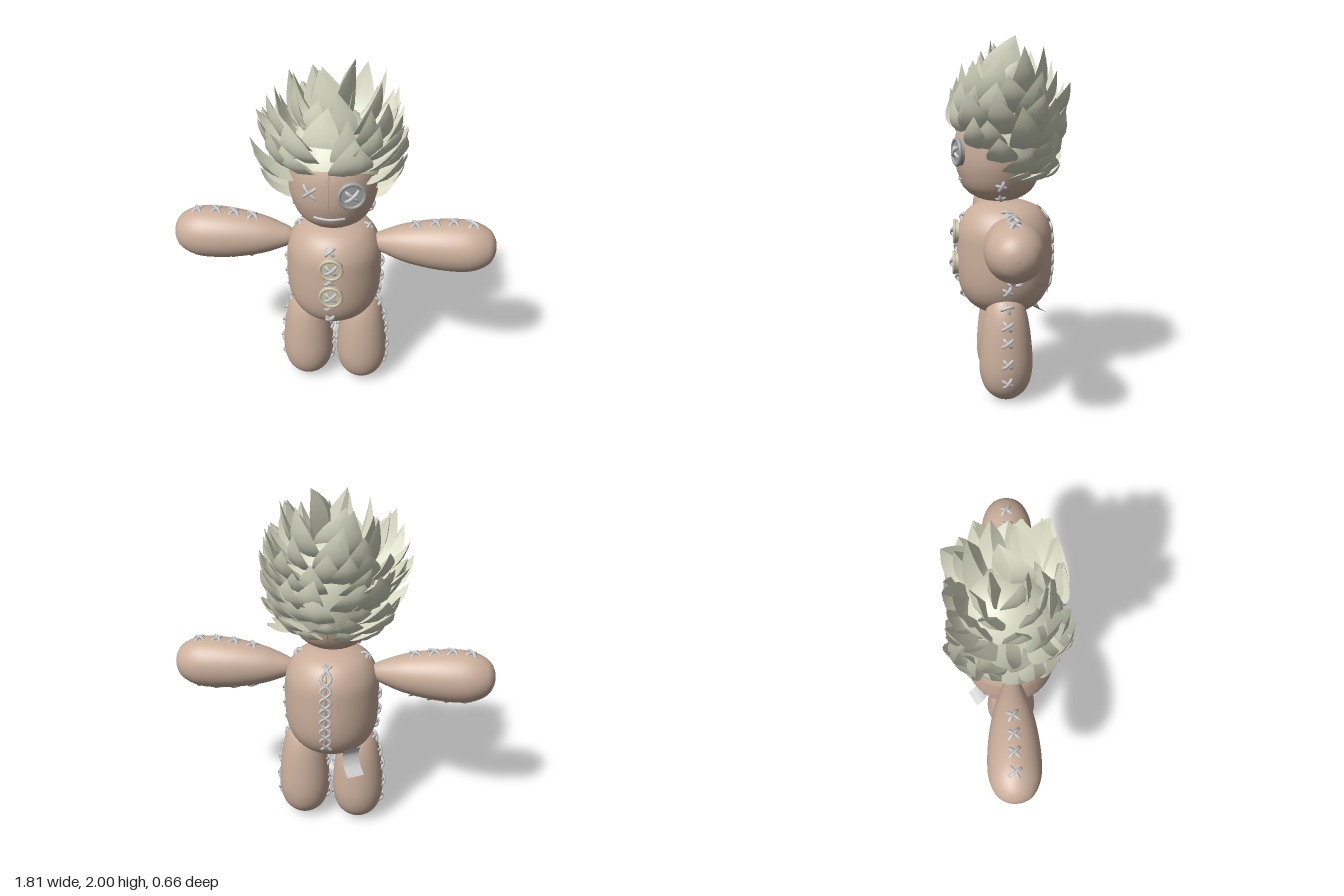
import * as THREE from 'three';
import { mergeGeometries, toCreasedNormals } from 'three/addons/utils/BufferGeometryUtils.js';

const V = (x, y, z) => new THREE.Vector3(x, y, z);
const paint = (color, side = THREE.FrontSide) => new THREE.MeshStandardMaterial({ color, side, roughness: 0.8 });
const cloth = paint(0xcaae9b);
const thread = paint(0xcccccc);
const hairMat = paint(0xd6d8c2, THREE.DoubleSide);
const beige = paint(0xcbc3aa);
const grey = paint(0xa3a3a3);
const ribbonMat = paint(0xcccccc, THREE.DoubleSide);

let seed = 11;
const jitter = (a) => {
  seed = (seed * 16807) % 2147483647;
  return (seed / 2147483647 - 0.5) * 2 * a;
};

function mesh(name, geometry, material, parent) {
  const m = new THREE.Mesh(geometry, material);
  m.name = name;
  parent.add(m);
  return m;
}

function tube(name, points, radius, material, parent) {
  const curve = new THREE.CatmullRomCurve3(points);
  return mesh(name, new THREE.TubeGeometry(curve, points.length * 6, radius, 6), material, parent);
}

// Cross stitch lying on a surface with the given normal, its ends dipping into the cloth
function crossStitch(parent, position, normal, size) {
  const stitch = new THREE.Group();
  stitch.name = 'crossStitch';
  const h = size / 2;
  for (const s of [1, -1]) {
    const path = [[-1, -0.01], [-0.6, 0.003], [0, 0.006], [0.6, 0.003], [1, -0.01]];
    tube('thread', path.map(([t, z]) => V(t * h * 0.85, s * t * h * 0.75, z + s * 0.003)), 0.0095, thread, stitch);
  }
  stitch.position.copy(position);
  stitch.quaternion.setFromUnitVectors(V(0, 0, 1), normal.clone().normalize());
  parent.add(stitch);
}

// Stuffed part: a smooth lathe that knows its own surface, for sewing on it
function stuffed(name, profile, parent) {
  const pts = new THREE.SplineCurve(profile.map(([r, y]) => new THREE.Vector2(r, y))).getPoints(48);
  pts.forEach((p) => (p.x = Math.max(p.x, 0)));
  const part = new THREE.Group();
  part.name = name;
  parent.add(part);
  mesh(name + 'Cloth', new THREE.LatheGeometry(pts, 48), cloth, part);
  const radius = (y) => {
    const i = Math.max(1, pts.findIndex((p) => p.y >= y));
    const [a, b] = [pts[i - 1], pts[i]];
    return a.x + ((b.x - a.x) * (y - a.y)) / (b.y - a.y);
  };
  const at = (angle, y, lift = 0) => {
    const r = radius(y) + lift;
    return V(Math.sin(angle) * r, y, Math.cos(angle) * r);
  };
  const sew = (angle, ys, size) => {
    for (const y of ys) {
      const slope = (radius(y + 0.01) - radius(y - 0.01)) / 0.02;
      crossStitch(part, at(angle, y), V(Math.sin(angle), -slope, Math.cos(angle)), size);
    }
  };
  return { part, at, sew };
}

// Round button with raised rim, tied on by a cross of thread
function button(name, position, normal, radius, material, parent) {
  const g = new THREE.Group();
  g.name = name;
  const disc = mesh('disc', new THREE.CylinderGeometry(radius * 0.95, radius * 0.95, 0.026, 32), material, g);
  disc.rotation.x = Math.PI / 2;
  mesh('rim', new THREE.TorusGeometry(radius * 0.87, radius * 0.14, 10, 32), material, g).position.z = 0.01;
  crossStitch(g, V(0, 0, 0.018), V(0, 0, 1), radius);
  g.position.copy(position);
  g.quaternion.setFromUnitVectors(V(0, 0, 1), normal.normalize());
  parent.add(g);
}

// Pointed lock of hair: ridged kite sections swept from root to tip
function lock(root, bend, tip, width) {
  const curve = new THREE.QuadraticBezierCurve3(root, bend, tip);
  const profile = [0.85, 1, 1.03, 0.95, 0.72, 0.38, 0];
  const n = profile.length;
  const pos = [], index = [];
  const side = V(0, 1, 0).cross(V(root.x, 0, root.z)).normalize();
  const lean = jitter(0.45);
  profile.forEach((w, i) => {
    const t = i / (n - 1);
    const c = curve.getPoint(t).addScaledVector(side, lean * width * t * t * 2);
    const up = side.clone().cross(curve.getTangent(t)).normalize();
    for (const [u, v] of [[1, 0.15], [0, 0.35], [-1, 0.15], [0, -0.25]]) {
      const p = c.clone().addScaledVector(side, u * w * width).addScaledVector(up, v * w * width);
      pos.push(p.x, p.y, p.z);
    }
  });
  for (let i = 0; i < n - 1; i++)
    for (let j = 0; j < 4; j++) {
      const a = i * 4 + j, b = i * 4 + ((j + 1) % 4);
      index.push(a, a + 4, b, b, a + 4, b + 4);
    }
  const g = new THREE.BufferGeometry();
  g.setAttribute('position', new THREE.Float32BufferAttribute(pos, 3));
  g.setIndex(index);
  return toCreasedNormals(g, 0.7);
}

function buildHair(parent) {
  const hair = new THREE.Group();
  hair.name = 'hair';
  parent.add(hair);
  const cap = mesh('hairCap', new THREE.SphereGeometry(1, 32, 16, 0, Math.PI * 2, 0, Math.PI / 2), hairMat, hair);
  cap.scale.set(0.265, 0.36, 0.27);
  cap.position.set(0, 1.39, 0.03);
  cap.rotation.x = -0.48;
  // Rings: root height, root radius, tip height, tip radius, count, front limit, width
  const rings = [
    [1.25, 0.21, 1.32, 0.33, 14, 0.03, 0.075],
    [1.30, 0.23, 1.41, 0.36, 15, 0.07, 0.08],
    [1.36, 0.24, 1.50, 0.385, 16, 0.1, 0.08],
    [1.43, 0.24, 1.60, 0.40, 16, 0.16, 0.08],
    [1.51, 0.24, 1.68, 0.41, 17, 1, 0.075],
    [1.57, 0.23, 1.77, 0.38, 15, 1, 0.08],
    [1.62, 0.20, 1.84, 0.32, 12, 1, 0.08],
    [1.67, 0.14, 1.90, 0.23, 8, 1, 0.08],
    [1.70, 0.06, 1.94, 0.11, 4, 1, 0.085],
  ];
  const locks = [];
  const square = (c) => Math.sign(c) * Math.abs(c) ** 0.7;
  rings.forEach(([y, r, Y, R, count, limit, width], k) => {
    for (let i = 0; i < count; i++) {
      const a = ((i + (k % 2) / 2) / count) * Math.PI * 2 + jitter(0.12);
      const [cx, cz] = [square(Math.cos(a)), square(Math.sin(a))];
      if (cz * r > limit) continue;
      const far = R + jitter(0.035), tipY = Y + jitter(0.05);
      const depth = far * 0.81 * (1 - 0.22 * Math.max(0, cz) * (1 - Math.abs(cx)));
      const root = V(cx * r, y, cz * r + 0.015);
      const tip = V(cx * far, tipY, cz * depth);
      const bend = V(cx * (far * 0.85 + 0.01), y + (tipY - y) * 0.25, cz * depth * 0.95 + 0.01);
      locks.push(lock(root, bend, tip, width + jitter(0.018)));
    }
  });
  // Tall crest on top
  locks.push(lock(V(0.05, 1.72, 0.02), V(0.03, 1.88, 0.05), V(0.11, 2.0, -0.05), 0.11));
  mesh('hairLocks', mergeGeometries(locks), hairMat, hair);
}

export function createModel() {
  const doll = new THREE.Group();
  doll.name = 'ragDoll';

  // Body with front buttons, side stitches and laced back
  const body = stuffed('body', [[0, 0.455], [0.085, 0.465], [0.16, 0.5], [0.215, 0.55], [0.25, 0.62], [0.265, 0.71],
    [0.267, 0.84], [0.256, 0.96], [0.2, 1.055], [0.1, 1.1], [0, 1.105]], doll);
  body.part.position.set(0.004, 0, 0.01);
  body.sew(0, [0.575, 0.67, 0.845, 1.015], 0.055);
  for (const s of [1, -1]) body.sew((s * Math.PI) / 2, [0.64, 0.73, 0.83, 1.06], 0.055);
  for (const y of [0.755, 0.93]) button('bodyButton', body.at(0.04, y, 0.006), V(0, 0, 1), 0.068, beige, body.part);
  const ys = Array.from({ length: 9 }, (_, i) => 1.07 - i * 0.062);
  tube('backSeam', ys.map((y) => body.at(Math.PI, y)), 0.006, cloth, body.part);
  for (const s of [1, -1])
    tube('backLace', ys.map((y, i) => body.at(Math.PI + s * (i % 2 ? 0.11 : -0.11), y, 0.005)), 0.009, thread, body.part);

  // Curled ribbon hanging off the back, turned to one side
  const ribbonPath = new THREE.CatmullRomCurve3([V(0, 0.56, -0.22), V(0, 0.51, -0.2), V(0, 0.45, -0.22), V(0, 0.41, -0.275)]);
  const ribbon = new THREE.PlaneGeometry(0.1, 1, 1, 16);
  const rp = ribbon.attributes.position;
  for (let i = 0; i < rp.count; i++) {
    const p = ribbonPath.getPoint(0.5 - rp.getY(i));
    rp.setXYZ(i, rp.getX(i) - 0.03, p.y, p.z);
  }
  ribbon.computeVertexNormals();
  mesh('ribbon', ribbon, ribbonMat, doll).rotation.y = Math.PI / 6;

  // Arms and legs, stitched along both seams
  for (const s of [1, -1]) {
    const side = s > 0 ? 'left' : 'right';
    const arm = stuffed(side + 'Arm', [[0, 0.19], [0.04, 0.23], [0.073, 0.3], [0.108, 0.4], [0.136, 0.54], [0.147, 0.68],
      [0.138, 0.78], [0.1, 0.86], [0.05, 0.895], [0, 0.905]], doll);
    arm.part.rotation.z = (-s * Math.PI) / 2;
    arm.part.position.set(0, 0.963, 0.013);
    const leg = stuffed(side + 'Leg', [[0, 0.005], [0.06, 0.02], [0.12, 0.08], [0.147, 0.18], [0.143, 0.32], [0.122, 0.47],
      [0.09, 0.56], [0.045, 0.598], [0, 0.607]], doll);
    leg.part.position.set(s * 0.16 + 0.009, 0, 0.013);
    for (const seam of [1, -1]) {
      arm.sew((seam * Math.PI) / 2, [0.455, 0.56, 0.66, 0.765], 0.07);
      leg.sew((seam * Math.PI) / 2, [0.14, 0.25, 0.365, 0.455, 0.55], 0.06);
    }
  }

  // Head with seams
  const head = stuffed('head', [[0, 1.105], [0.1, 1.115], [0.185, 1.17], [0.23, 1.27], [0.243, 1.37], [0.232, 1.48],
    [0.18, 1.58], [0.09, 1.63], [0, 1.64]], doll);
  head.part.position.set(0.003, 0, 0.04);
  for (const s of [1, -1]) head.sew((s * Math.PI) / 2, [1.135, 1.205], 0.055);
  tube('faceSeam', [1.26, 1.33, 1.4, 1.47, 1.53].map((y) => head.at(0, y, -0.002)), 0.005, cloth, head.part);
  tube('headBackSeam', [1.14, 1.22, 1.3, 1.4].map((y) => head.at(Math.PI, y)), 0.005, cloth, head.part);

  // Eyes: a button on one side, a cross stitch on the other
  button('buttonEye', head.at(0.48, 1.385, 0.01), V(0.3, 0, 1), 0.078, grey, head.part);
  crossStitch(head.part, head.at(-0.43, 1.385, 0.002), V(-0.43, 0, 1), 0.09);

  // Mouth: a thin lip above a slightly raised patch
  const across = [-0.38, -0.2, 0, 0.2, 0.38];
  tube('lip', across.map((a) => head.at(a, 1.226 + Math.abs(a) * 0.015, -0.001)), 0.01, thread, head.part);
  const patchProfile = [1.12, 1.15, 1.18, 1.205, 1.23].map((y) => new THREE.Vector2(head.at(0, y, 0.004).z, y));
  mesh('mouthPatch', new THREE.LatheGeometry(patchProfile, 12, -0.38, 0.76), cloth, head.part);

  buildHair(doll);
  return doll;
}
